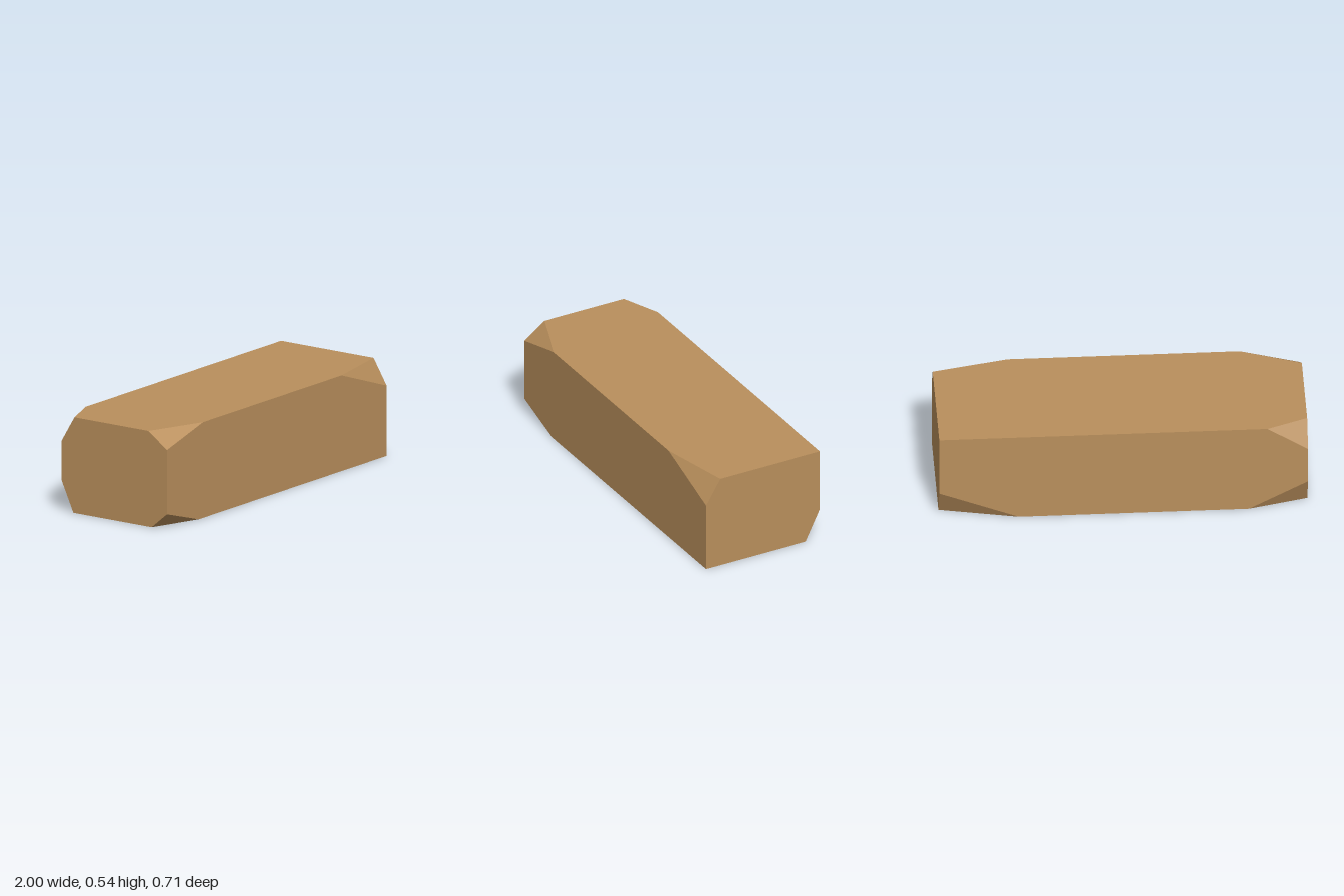
import * as THREE from 'three';
import { ConvexGeometry } from 'three/addons/geometries/ConvexGeometry.js';

const HALF_X = 1, HEIGHT = 0.535, HALF_Z = 0.355;

// Each corner of the beam: signs of x, y, z, then how far its chip cuts along x, y, z
const CORNERS = [
  { at: [1, 1, 1], cut: [0.41, 0.142, 0.088] },
  { at: [1, 1, -1] },
  { at: [1, -1, 1] },
  { at: [1, -1, -1], cut: [0.43, 0.175, 0.088] },
  { at: [-1, 1, 1], cut: [0.33, 0.088, 0.125] },
  { at: [-1, 1, -1], cut: [0.22, 0.145, 0.087] },
  { at: [-1, -1, 1], cut: [0.29, 0.088, 0.103] },
  { at: [-1, -1, -1], cut: [0.32, 0.172, 0.08] },
];

// A whole corner gives one point; a chipped one gives a point on each of its three edges
function cornerPoints({ at: [sx, sy, sz], cut }) {
  const corner = new THREE.Vector3(sx * HALF_X, sy > 0 ? HEIGHT : 0, sz * HALF_Z);
  if (!cut) return [corner];
  return [
    corner.clone().setX(corner.x - sx * cut[0]),
    corner.clone().setY(corner.y - sy * cut[1]),
    corner.clone().setZ(corner.z - sz * cut[2]),
  ];
}

export function createModel() {
  const group = new THREE.Group();
  group.name = 'woodenBeam';

  const wood = new THREE.MeshStandardMaterial({ color: 0xb98f5c });
  wood.name = 'wood';

  // Solid beam with chipped corners
  const beam = new THREE.Mesh(new ConvexGeometry(CORNERS.flatMap(cornerPoints)), wood);
  beam.name = 'beam';
  group.add(beam);

  return group;
}
